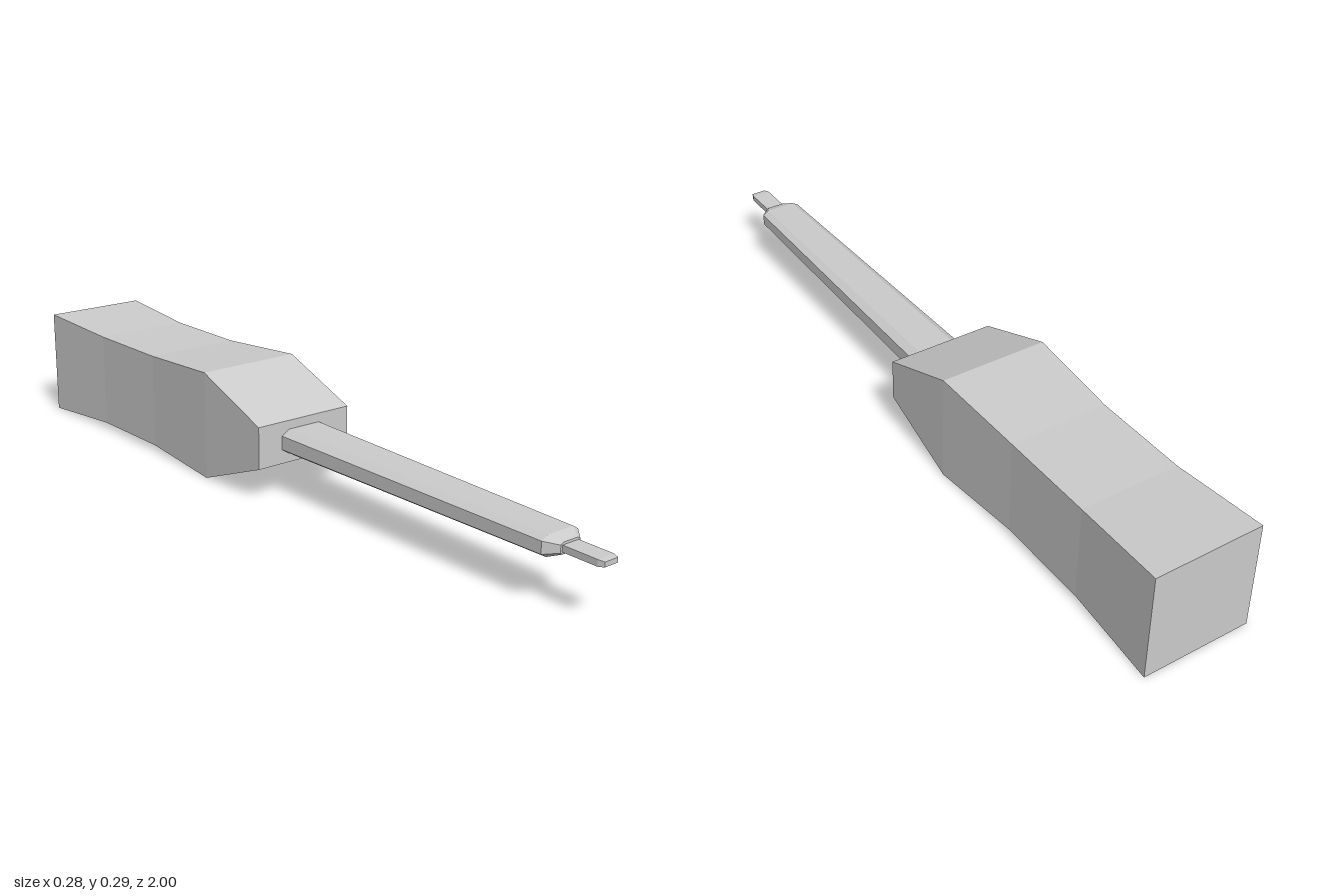
import * as THREE from 'three';

const AXIS_Y = 0.143;

// Closed loft through rings of [x, y] corners, ordered from back (-z) to front.
function loft(name, rings, material) {
  const pos = [];
  const tri = (a, b, c) => pos.push(...a, ...b, ...c);
  const n = rings[0].length;
  for (let r = 0; r < rings.length - 1; r++) {
    for (let i = 0; i < n; i++) {
      const j = (i + 1) % n;
      const [a, b, c, d] = [rings[r][i], rings[r][j], rings[r + 1][j], rings[r + 1][i]];
      tri(a, b, c);
      tri(a, c, d);
    }
  }
  const back = rings[0], front = rings[rings.length - 1];
  for (let i = 1; i < n - 1; i++) {
    tri(back[0], back[i + 1], back[i]);
    tri(front[0], front[i], front[i + 1]);
  }
  const geometry = new THREE.BufferGeometry();
  geometry.setAttribute('position', new THREE.Float32BufferAttribute(pos, 3));
  geometry.computeVertexNormals();
  const mesh = new THREE.Mesh(geometry, material);
  mesh.name = name;
  mesh.position.y = AXIS_Y;
  return mesh;
}

// Rectangular section with half width w and half height h
const rect = ([z, w, h]) => [[-w, -h, z], [w, -h, z], [w, h, z], [-w, h, z]];

// Rectangle with corners chamfered by cx across and cy up
const octagon = ([z, w, h, cx, cy]) => [
  [-w + cx, -h, z], [w - cx, -h, z], [w, -h + cy, z], [w, h - cy, z],
  [w - cx, h, z], [-w + cx, h, z], [-w, h - cy, z], [-w, -h + cy, z],
];

export function createModel() {
  const material = new THREE.MeshStandardMaterial({ color: 0xcccccc, flatShading: true });
  const model = new THREE.Group();
  model.name = 'handTool';

  // Waisted square grip, tapering to a wedge at the front
  model.add(loft('handle', [
    [-1, 0.142, 0.143],
    [-0.745, 0.13, 0.127],
    [-0.49, 0.13, 0.127],
    [-0.23, 0.142, 0.143],
    [0, 0.142, 0.055],
  ].map(rect), material));

  // Tapering shaft with chamfered edges and a bevelled shoulder
  model.add(loft('shaft', [
    [-0.02, 0.07, 0.032, 0.022, 0.014],
    [0.86, 0.056, 0.025, 0.016, 0.01],
    [0.89, 0.03, 0.014, 0.008, 0.005],
  ].map(octagon), material));

  // Small flat tip
  model.add(loft('tip', [
    [0.87, 0.025, 0.008],
    [0.985, 0.025, 0.008],
    [1, 0.02, 0.006],
  ].map(rect), material));

  return model;
}
